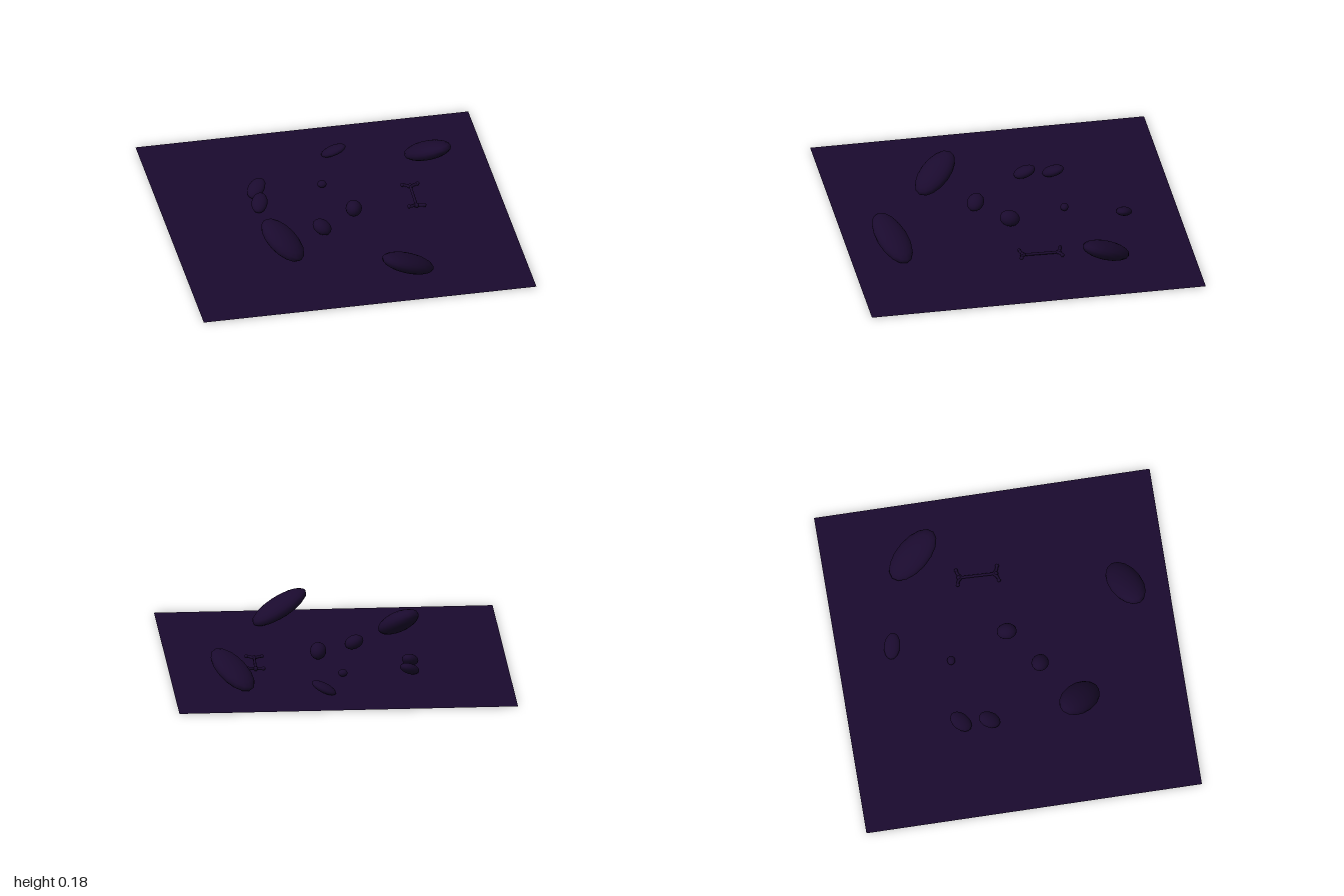
import * as THREE from 'three';

const material = new THREE.MeshStandardMaterial({ color: 0x1a0a2e });
const sheetMaterial = new THREE.MeshStandardMaterial({ color: 0x1a0a2e, side: THREE.DoubleSide });

// position, semi-axes [length, width, thickness], heading of the raised end (x, z), tilt in degrees
const STONES = [
  ['largeStone', [-0.255, 0.092, 0.37], [0.137, 0.08, 0.05], [-0.79, -0.62], 30],
  ['largeStone', [0.365, 0.082, 0.555], [0.158, 0.08, 0.046], [-0.83, 0.56], 26],
  ['largeStone', [0.44, 0.082, -0.5], [0.157, 0.083, 0.045], [0.73, 0.68], 27],
  ['smallStone', [-0.397, 0.035, -0.205], [0.062, 0.042, 0.026], [0.45, -0.9], 25],
  ['smallStone', [-0.378, 0.037, -0.065], [0.058, 0.04, 0.028], [0.1, -1], 25],
  ['smallStone', [-0.025, 0.032, -0.57], [0.066, 0.04, 0.022], [1, 0.05], 25],
  ['smallStone', [0.087, 0.045, -0.012], [0.05, 0.04, 0.04], [0.1, 1], 15],
  ['smallStone', [-0.065, 0.043, 0.163], [0.05, 0.042, 0.034], [-0.95, -0.3], 28],
  ['pebble', [-0.075, 0.02, -0.275], [0.023, 0.02, 0.018], [1, 0], 0],
];

// Flattened ellipsoid with one end lifted off the ground
function createStone([name, position, [length, width, thickness], [hx, hz], tilt]) {
  const stone = new THREE.Mesh(new THREE.SphereGeometry(1, 16, 10), material);
  stone.name = name;
  stone.position.set(...position);
  stone.scale.set(width, thickness, length);
  stone.rotation.set(-THREE.MathUtils.degToRad(tilt), Math.atan2(hx, hz), 0, 'YXZ');
  return stone;
}

// Thin shaft with a two-pronged fork at each end, lying along local z
function createBone() {
  const bone = new THREE.Group();
  bone.name = 'bone';
  const shaft = new THREE.Mesh(new THREE.CylinderGeometry(0.007, 0.007, 0.19, 8), material);
  shaft.name = 'boneShaft';
  shaft.rotation.x = Math.PI / 2;
  bone.add(shaft);
  for (const end of [-1, 1]) {
    const joint = new THREE.Mesh(new THREE.SphereGeometry(0.012, 8, 6), material);
    joint.name = 'boneJoint';
    joint.position.z = end * 0.092;
    bone.add(joint);
    for (const side of [-1, 1]) {
      const path = new THREE.CatmullRomCurve3([
        new THREE.Vector3(0, 0, end * 0.08),
        new THREE.Vector3(side * 0.018, 0.002, end * 0.096),
        new THREE.Vector3(side * 0.038, 0.004, end * 0.102),
      ]);
      const prong = new THREE.Mesh(new THREE.TubeGeometry(path, 6, 0.008, 6), material);
      prong.name = 'boneProng';
      const tip = new THREE.Mesh(new THREE.SphereGeometry(0.01, 8, 6), material);
      tip.name = 'boneTip';
      tip.position.copy(path.getPoint(1));
      bone.add(prong, tip);
    }
  }
  bone.position.set(0.377, 0.019, -0.177);
  bone.rotation.y = 0.19;
  return bone;
}

export function createModel() {
  const model = new THREE.Group();
  model.name = 'stonyGround';

  // Flat square ground, turned slightly
  const ground = new THREE.Mesh(new THREE.PlaneGeometry(1.671, 1.671).rotateX(-Math.PI / 2), sheetMaterial);
  ground.name = 'ground';
  ground.rotation.y = Math.atan2(0.37, 1.63);
  model.add(ground);

  for (const spec of STONES) model.add(createStone(spec));
  model.add(createBone());
  return model;
}
